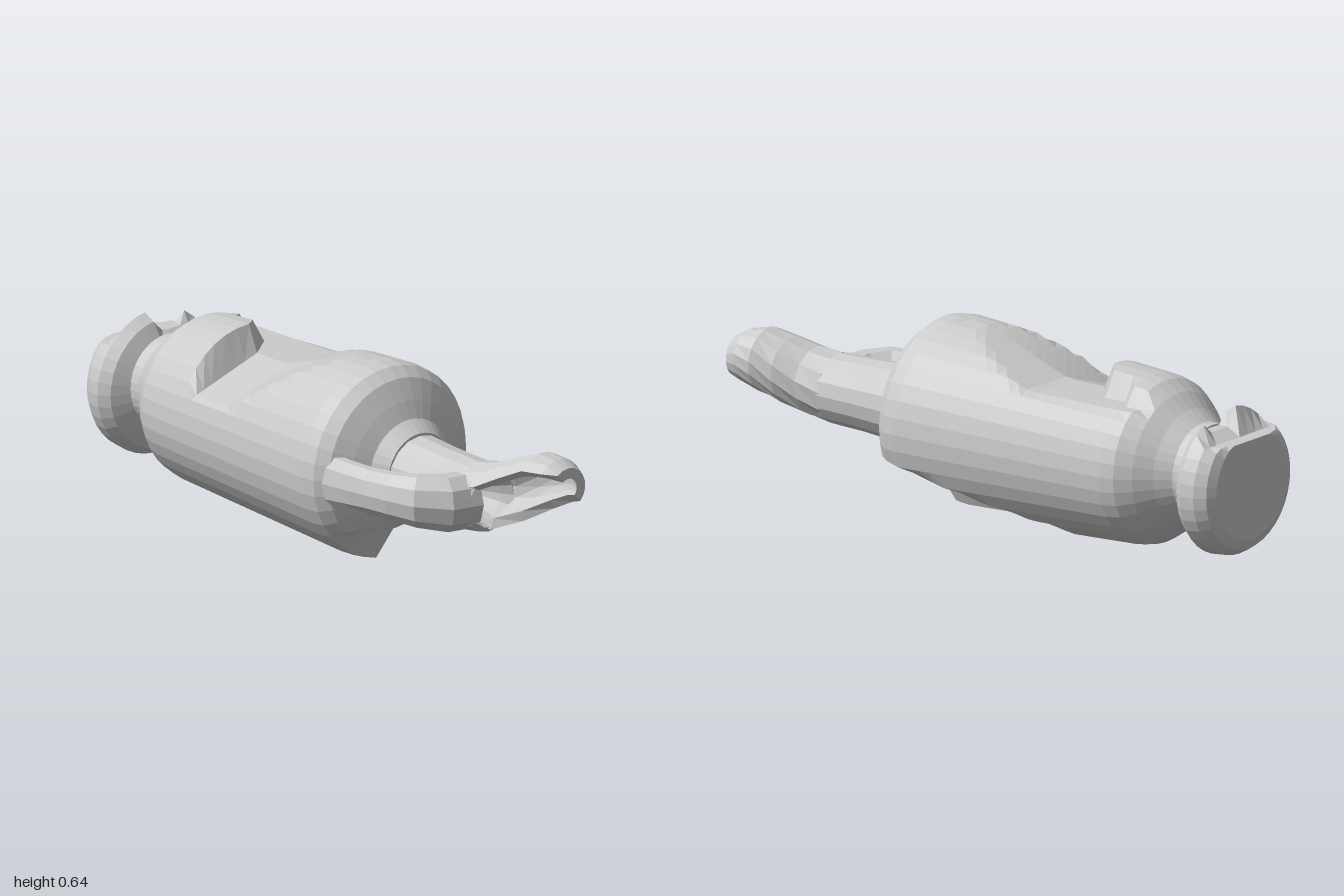
import * as THREE from 'three';

const SIDES = 36;
const lerp = THREE.MathUtils.lerp, clamp = THREE.MathUtils.clamp, rad = THREE.MathUtils.degToRad;

// Skin a list of closed rings (counter-clockwise about the travel direction) and cap both ends
function loft(name, rings, fanCaps = true) {
  const n = rings[0].length, pos = [], index = [];
  rings.forEach(r => r.forEach(p => pos.push(...p)));
  for (let i = 0; i < rings.length - 1; i++) {
    for (let j = 0; j < n; j++) {
      const a = i * n + j, b = i * n + (j + 1) % n;
      index.push(a, b, b + n, a, b + n, a + n);
    }
  }
  const last = (rings.length - 1) * n;
  if (fanCaps) {
    for (let j = 1; j < n - 1; j++) {
      index.push(0, j + 1, j, last, last + j, last + j + 1);
    }
  } else { // C-shaped section: bridge its outer and inner arcs
    for (let j = 0; j < n / 2 - 1; j++) {
      const a = j, b = j + 1, c = n - 2 - j, d = n - 1 - j;
      index.push(a, c, b, a, d, c);
      index.push(last + a, last + b, last + c, last + a, last + c, last + d);
    }
  }
  const geo = new THREE.BufferGeometry();
  geo.setAttribute('position', new THREE.Float32BufferAttribute(pos, 3));
  geo.setIndex(index);
  geo.computeVertexNormals();
  const mesh = new THREE.Mesh(geo, new THREE.MeshStandardMaterial({
    color: 0xcccccc, flatShading: true, side: THREE.DoubleSide }));
  mesh.name = name;
  return mesh;
}

// Round ring in the xy plane
function ring(z, r, cy, sides = SIDES) {
  return Array.from({ length: sides }, (_, j) => {
    const a = j / sides * Math.PI * 2;
    return [r * Math.cos(a), cy + r * Math.sin(a), z];
  });
}

// Broken areas of the body: sunken top, hollow lower left side, missing lower shoulder
function damage([x, y, z]) {
  const brokenEdge = lerp(-0.41, -0.67, clamp((x - 0.03) / 0.11, 0, 1));
  if (z < 0.18 && z > brokenEdge) {
    const t = clamp((z + 0.25) / 0.33, 0, 1);
    y = Math.min(y, lerp(0.52, 0.635, t) + Math.min(x, 0) * 0.35 * (1 - t));
  }
  if (x > -0.02 && z > -0.33 && z < 0.34) {
    const t = Math.min((z + 0.35) / 0.65, 1);
    y = Math.max(y, lerp(0.075, 0.13, t) + Math.max(x, 0) * 0.35 * t);
  } else if (z > 0.27 && z < 0.34) {
    y = Math.max(y, 0.125);
  }
  return [x, y, z];
}

function makeBody() {
  const profile = [[-0.84, 0.155], [-0.8, 0.155], [-0.75, 0.19], [-0.7, 0.235], [-0.65, 0.268]];
  for (let i = 0; i <= 20; i++) {
    const t = i / 20;
    profile.push([lerp(-0.6, 0.2, t), lerp(0.278, 0.32, t)]);
  }
  profile.push([0.25, 0.315], [0.29, 0.285], [0.325, 0.22], [0.35, 0.165], [0.4, 0.13]);
  return loft('body', profile.map(([z, r]) => ring(z, r, 0.32).map(damage)));
}

// Flared foot with a chipped upper edge
function makeFoot() {
  const profile = [[-1, 0.18], [-0.985, 0.212], [-0.95, 0.235], [-0.9, 0.24], [-0.865, 0.215], [-0.835, 0.15]];
  return loft('foot', profile.map(([z, r]) => ring(z, r, 0.305).map(([x, y, zz]) =>
    [x, Math.min(y, z < -0.93 ? 0.455 : x > -0.03 && x < 0.12 ? 0.48 : 0.54), zz])));
}

// Neck, turning inward at the front to form a funnel-shaped mouth
function makeNeck() {
  const profile = [[0.33, 0.16], [0.39, 0.128], [0.55, 0.118], [0.68, 0.115], [0.74, 0.107],
    [0.755, 0.09], [0.72, 0.07], [0.66, 0.042], [0.58, 0.032]];
  return loft('neck', profile.map(([z, r]) => ring(z, r, 0.315, 16)));
}

// Half-open pouring lip: a thick arc that leans to the left and upward
function makeLip() {
  const rows = [ // z, x, y, radius, first and last angle
    [0.68, 0, 0.315, 0.115, -120, 160], [0.76, 0.02, 0.33, 0.112, -105, 155],
    [0.83, 0.055, 0.36, 0.11, -85, 150], [0.9, 0.085, 0.388, 0.106, -60, 145],
    [0.96, 0.105, 0.395, 0.088, -50, 145], [1, 0.11, 0.39, 0.07, -45, 130]];
  const steps = 9;
  return loft('pouringLip', rows.map(([z, cx, cy, r, a0, a1]) => {
    const arc = (radius) => Array.from({ length: steps + 1 }, (_, j) => {
      const a = rad(lerp(a0, a1, j / steps));
      return [cx + radius * Math.cos(a), cy + radius * Math.sin(a), z];
    });
    return [...arc(r), ...arc(r - 0.035).reverse()];
  }), false);
}

// Side handle from the shoulder round to the neck
function makeHandle() {
  const rows = [ // x, z, y, half width, half height
    [-0.25, 0.18, 0.31, 0.055, 0.1], [-0.25, 0.33, 0.315, 0.045, 0.085], [-0.24, 0.45, 0.32, 0.047, 0.078],
    [-0.228, 0.55, 0.325, 0.055, 0.08], [-0.2, 0.63, 0.325, 0.068, 0.088],
    [-0.13, 0.68, 0.315, 0.078, 0.095], [-0.04, 0.685, 0.312, 0.083, 0.095]];
  const sides = 10;
  return loft('handle', rows.map(([x, z, y, w, h], i) => {
    const p = rows[Math.max(i - 1, 0)], q = rows[Math.min(i + 1, rows.length - 1)];
    const t = new THREE.Vector2(q[0] - p[0], q[1] - p[1]).normalize();
    return Array.from({ length: sides }, (_, j) => {
      const a = j / sides * Math.PI * 2, u = w * Math.cos(a);
      return [x + t.y * u, y + h * Math.sin(a), z - t.x * u];
    });
  }));
}

export function createModel() {
  const group = new THREE.Group();
  group.name = 'jug';
  group.add(makeBody(), makeFoot(), makeNeck(), makeLip(), makeHandle());
  return group;
}
